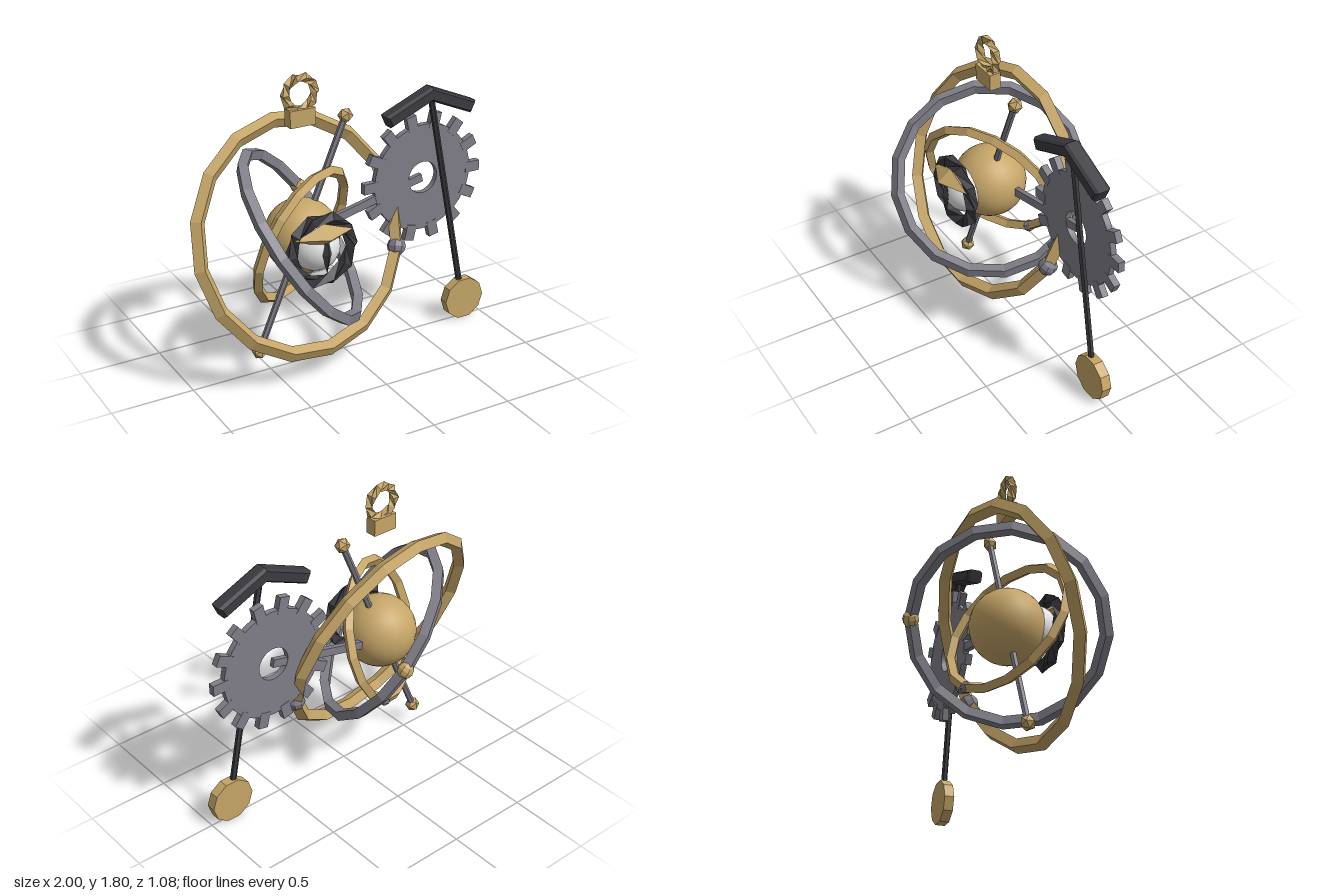
import * as THREE from 'three';

const V = (x, y, z) => new THREE.Vector3(x, y, z);
const mat = (name, color) => {
  const m = new THREE.MeshStandardMaterial({ color });
  m.name = name;
  return m;
};

// Faceted normals for low-poly parts
function flat(geo) {
  const g = geo.index ? geo.toNonIndexed() : geo;
  g.computeVertexNormals();
  return g;
}

// Ring whose four-sided section turns as it goes round
function twistedRing(radius, tube, segments) {
  const g = new THREE.TorusGeometry(radius, tube, 4, segments);
  const p = g.attributes.position;
  for (let j = 0; j <= 4; j++) {
    for (let i = 0; i <= segments; i++) {
      const u = (i / segments) * Math.PI * 2;
      const v = (j / 4) * Math.PI * 2 + (i * Math.PI) / 4;
      const r = radius + tube * Math.cos(v);
      p.setXYZ(j * (segments + 1) + i, r * Math.cos(u), r * Math.sin(u), tube * Math.sin(v));
    }
  }
  return flat(g);
}

export function createModel() {
  const model = new THREE.Group();
  const brass = mat('brass', 0xc6a668);
  const steel = mat('steel', 0x807e88);
  const dark = mat('darkIron', 0x3a3a40);
  const white = mat('eyeWhite', 0xf0f0f0);
  const C = V(-0.28, 0.82, 0);

  function add(name, geo, material, x = 0, y = 0, z = 0, parent = model) {
    const m = new THREE.Mesh(geo, material);
    m.name = name;
    m.position.set(x, y, z);
    parent.add(m);
    return m;
  }

  function rod(name, a, b, radius, material) {
    const g = flat(new THREE.CylinderGeometry(radius, radius, a.distanceTo(b), 6));
    const mid = a.clone().add(b).multiplyScalar(0.5);
    const m = add(name, g, material, mid.x, mid.y, mid.z);
    m.quaternion.setFromUnitVectors(V(0, 1, 0), b.clone().sub(a).normalize());
  }

  // Gimbal rings, each with a bead on its local x axis
  function gimbal(name, radius, tube, normal, beadDir, ringMat, beadMat, beadRadius) {
    const g = new THREE.Group();
    g.name = name;
    g.position.copy(C);
    const n = normal.normalize();
    const x = beadDir.addScaledVector(n, -beadDir.dot(n)).normalize();
    const y = n.clone().cross(x);
    g.quaternion.setFromRotationMatrix(new THREE.Matrix4().makeBasis(x, y, n));
    add(name + 'Band', flat(new THREE.TorusGeometry(radius, tube, 4, 16)), ringMat, 0, 0, 0, g);
    add(name + 'Bead', flat(new THREE.SphereGeometry(beadRadius, 8, 6)), beadMat, radius, 0, 0, g);
    model.add(g);
  }
  gimbal('outerRing', 0.685, 0.045, V(0.12, 0.34, 0.93), V(0.645, -0.22, 0), brass, steel, 0.058);
  gimbal('middleRing', 0.56, 0.04, V(0.69, 0.58, 0.43), V(0.25, 0.08, -0.5), steel, brass, 0.05);
  gimbal('innerRing', 0.42, 0.034, V(0.46, -0.3, 0.83), V(0.135, -0.35, -0.2), brass, steel, 0.037);

  // Central globe and eye
  add('globe', new THREE.SphereGeometry(0.222, 24, 16), brass, C.x, C.y, 0);
  add('eyeball', new THREE.SphereGeometry(0.147, 20, 14), white, C.x, C.y, 0.155);
  add('eyeRim', twistedRing(0.195, 0.04, 10), dark, C.x, C.y, 0.235);
  const pupil = new THREE.OctahedronGeometry(1).scale(0.03, 0.12, 0.025);
  add('pupil', flat(pupil), dark, C.x, C.y, 0.3);
  const lid = new THREE.OctahedronGeometry(1).scale(0.19, 0.068, 0.085);
  add('eyelid', flat(lid), brass, C.x, 0.925, 0.265);

  // Tilted axis with end knobs
  const low = V(-0.57, 0.135, 0), high = V(0.01, 1.5, 0);
  rod('axis', low, high, 0.02, steel);
  for (const p of [low, high]) {
    add('axisKnob', flat(new THREE.IcosahedronGeometry(0.046)), brass, p.x, p.y, p.z);
  }

  // Hanging loop
  add('loopMount', new THREE.BoxGeometry(0.16, 0.1, 0.07), brass, C.x, 1.545, 0);
  add('hangingLoop', twistedRing(0.094, 0.028, 10), brass, C.x, 1.68, 0);

  // Arm from the globe to the gear
  const arm = add('gearArm', new THREE.BoxGeometry(0.88, 0.05, 0.03), steel, 0.145, 0.885, -0.063);
  arm.rotation.z = 0.235;

  // Gear with separate rectangular teeth
  const gear = new THREE.Group();
  gear.name = 'gear';
  gear.position.set(0.575, 0.99, -0.063);
  model.add(gear);
  const disc = new THREE.Shape().absarc(0, 0, 0.338, 0, Math.PI * 2, false);
  disc.holes.push(new THREE.Path().absarc(0, 0, 0.1, 0, Math.PI * 2, true));
  const body = new THREE.ExtrudeGeometry(disc, { depth: 0.036, bevelEnabled: false, curveSegments: 20 });
  add('gearBody', body.translate(0, 0, -0.018), steel, 0, 0, 0, gear);
  for (let i = 0; i < 14; i++) {
    const a = (i / 14) * Math.PI * 2;
    const t = add('gearTooth', new THREE.BoxGeometry(0.1, 0.066, 0.04), steel,
      0.36 * Math.cos(a), 0.36 * Math.sin(a), 0, gear);
    t.rotation.z = a;
  }

  // Chevron above the gear
  const chevron = new THREE.Shape([
    [0, 1.568], [-0.295, 1.443], [-0.272, 1.393], [0, 1.508], [0.272, 1.393], [0.295, 1.443],
  ].map(([x, y]) => new THREE.Vector2(x, y)));
  const chevronGeo = new THREE.ExtrudeGeometry(chevron, {
    depth: 0.06, bevelThickness: 0.018, bevelSize: 0.012, bevelSegments: 1,
  }).translate(0, 0, -0.03);
  add('chevron', flat(chevronGeo), dark, 0.575, 0, 0);

  // Pendulum
  rod('pendulumRod', V(0.585, 1.53, 0), V(0.85, 0.18, 0), 0.019, dark);
  const bob = new THREE.CylinderGeometry(0.138, 0.138, 0.06, 10, 1, false, Math.PI / 2);
  add('pendulumBob', flat(bob.rotateX(Math.PI / 2)), brass, 0.862, 0.132, 0);

  return model;
}
